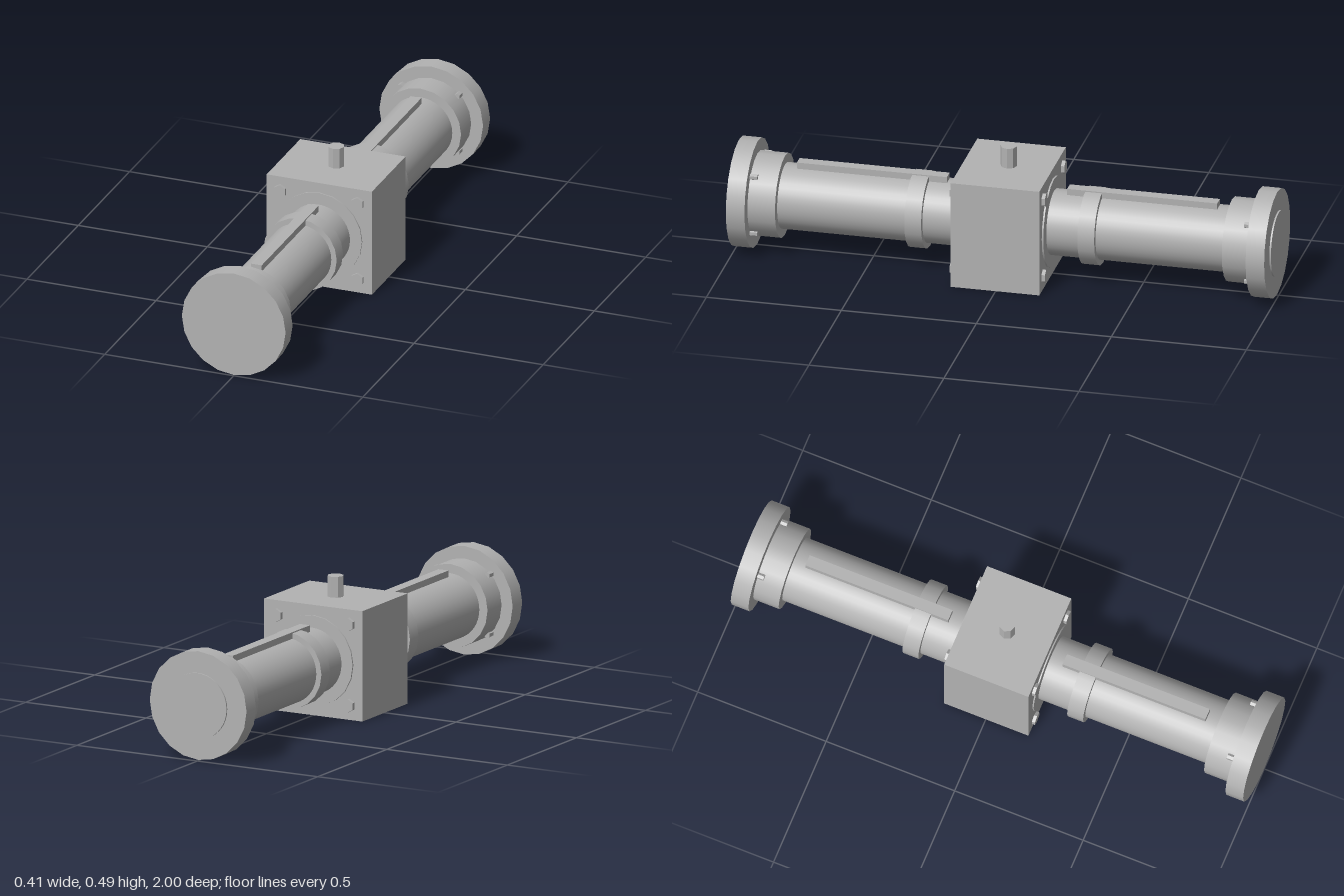
import * as THREE from 'three';

const AXIS_Y = 0.204;

export function createModel() {
  const model = new THREE.Group();
  model.name = 'valveAssembly';
  const steel = new THREE.MeshStandardMaterial({ color: 0xb2b2b2 });
  steel.name = 'grey steel';

  function add(parent, name, geometry, x = 0, y = 0, z = 0) {
    const mesh = new THREE.Mesh(geometry, steel);
    mesh.name = name;
    mesh.position.set(x, y, z);
    parent.add(mesh);
    return mesh;
  }

  // Cylinder lying along z between z0 and z1, centred on (x, y)
  function rod(parent, name, radius, z0, z1, sides = 20, x = 0, y = AXIS_Y) {
    let g = new THREE.CylinderGeometry(radius, radius, z1 - z0, sides);
    g.rotateX(Math.PI / 2);
    if (sides < 12) {
      g = g.toNonIndexed();
      g.computeVertexNormals();
    }
    return add(parent, name, g, x, y, (z0 + z1) / 2);
  }

  // Central block
  add(model, 'centralBlock', new THREE.BoxGeometry(0.408, 0.408, 0.328), 0, AXIS_Y, 0.002);

  // Octagonal stem on top
  const stem = new THREE.CylinderGeometry(0.03, 0.03, 0.085, 8).toNonIndexed();
  stem.computeVertexNormals();
  add(model, 'topStem', stem, 0, 0.4425, 0);

  // One pipe arm, pointing along +z
  function arm(name, tubeEnd) {
    const g = new THREE.Group();
    g.name = name;
    rod(g, 'sealDisc', 0.167, 0.15, 0.168);
    rod(g, 'pipe', 0.121, 0.15, tubeEnd, 40);
    rod(g, 'clampRing', 0.142, 0.288, 0.35);
    rod(g, 'collar', 0.155, 0.826, 0.94);
    rod(g, 'endFlange', 0.201, 0.928, 0.997);
    // Raised rib along the top of the pipe
    add(g, 'topRib', new THREE.BoxGeometry(0.042, 0.05, 0.556), 0, 0.322, 0.499);
    // Block bolts and flange bolts, four of each
    for (const sx of [-1, 1]) {
      for (const sy of [-1, 1]) {
        rod(g, 'blockBolt', 0.025, 0.15, 0.175, 6, sx * 0.15, AXIS_Y + sy * 0.15);
        rod(g, 'flangeBolt', 0.012, 0.9, 0.94, 6, sx * 0.11, AXIS_Y + sy * 0.11);
      }
    }
    model.add(g);
    return g;
  }

  const front = arm('frontArm', 0.99);
  front.position.z = 0.003;
  const back = arm('backArm', 1.0); // pipe end stands proud of the flange
  back.rotation.y = Math.PI;
  back.getObjectByName('endFlange').position.z -= 0.003;
  return model;
}
